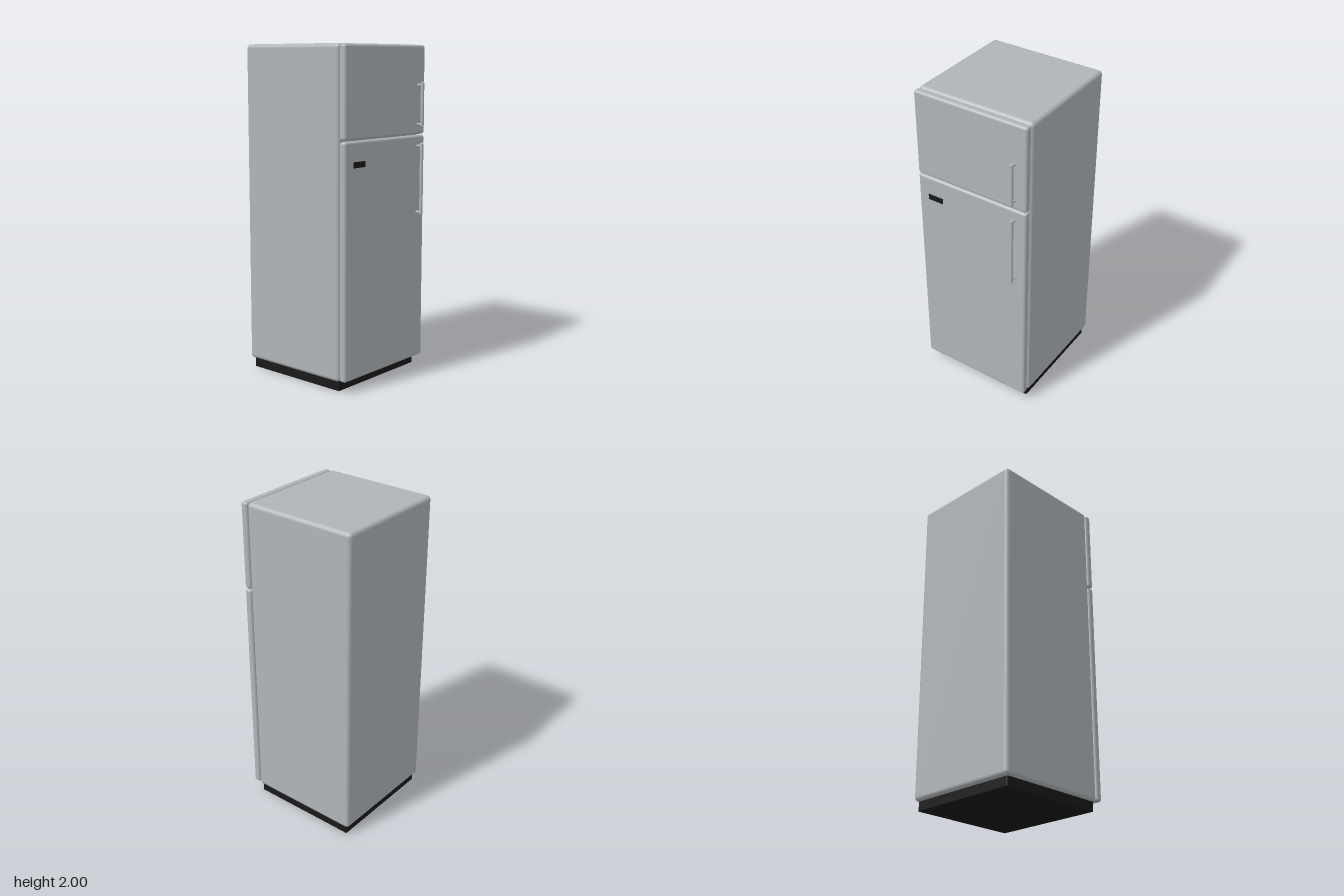
import * as THREE from 'three';
import { RoundedBoxGeometry } from 'three/addons/geometries/RoundedBoxGeometry.js';

const mat = (name, color) => {
  const m = new THREE.MeshStandardMaterial({ color });
  m.name = name;
  return m;
};

export function createModel() {
  const root = new THREE.Group();
  root.name = 'refrigerator';
  const enamel = mat('greyEnamel', 0xb0b5b8);
  const black = mat('blackPlastic', 0x1a1a1a);

  const add = (name, geometry, material, x, y, z, parent = root) => {
    const mesh = new THREE.Mesh(geometry, material);
    mesh.name = name;
    mesh.position.set(x, y, z);
    parent.add(mesh);
    return mesh;
  };

  // Softly rounded block given by its min and max on each axis
  const block = (name, material, [x0, x1], [y0, y1], [z0, z1], radius) =>
    add(name, new RoundedBoxGeometry(x1 - x0, y1 - y0, z1 - z0, 3, radius), material,
      (x0 + x1) / 2, (y0 + y1) / 2, (z0 + z1) / 2);

  // Cabinet on a recessed plinth
  block('cabinet', enamel, [-0.375, 0.375], [0.058, 2], [-0.414, 0.32], 0.025);
  block('plinth', black, [-0.355, 0.355], [0, 0.07], [-0.39, 0.308], 0.006);

  // Doors
  block('freezerDoor', enamel, [-0.372, 0.372], [1.463, 1.996], [0.322, 0.368], 0.016);
  block('fridgeDoor', enamel, [-0.372, 0.372], [0.065, 1.457], [0.322, 0.368], 0.016);

  // Bar handles, each on two standoff posts
  const handle = (name, y0, y1) => {
    const group = new THREE.Group();
    group.name = name;
    root.add(group);
    const r = 0.0105;
    add('handleBar', new THREE.CapsuleGeometry(r, y1 - y0 - 2 * r, 4, 12), enamel,
      0.299, (y0 + y1) / 2, 0.402, group);
    for (const y of [y0 + 0.02, y1 - 0.02]) {
      const post = add('handlePost', new THREE.CylinderGeometry(0.008, 0.008, 0.04, 12), enamel,
        0.299, y, 0.382, group);
      post.rotation.x = Math.PI / 2;
    }
  };
  handle('freezerHandle', 1.505, 1.78);
  handle('fridgeHandle', 0.968, 1.414);

  // Plain dark plate on the lower door
  add('doorPlate', new THREE.BoxGeometry(0.1, 0.034, 0.008), black, -0.25, 1.324, 0.369);

  return root;
}
